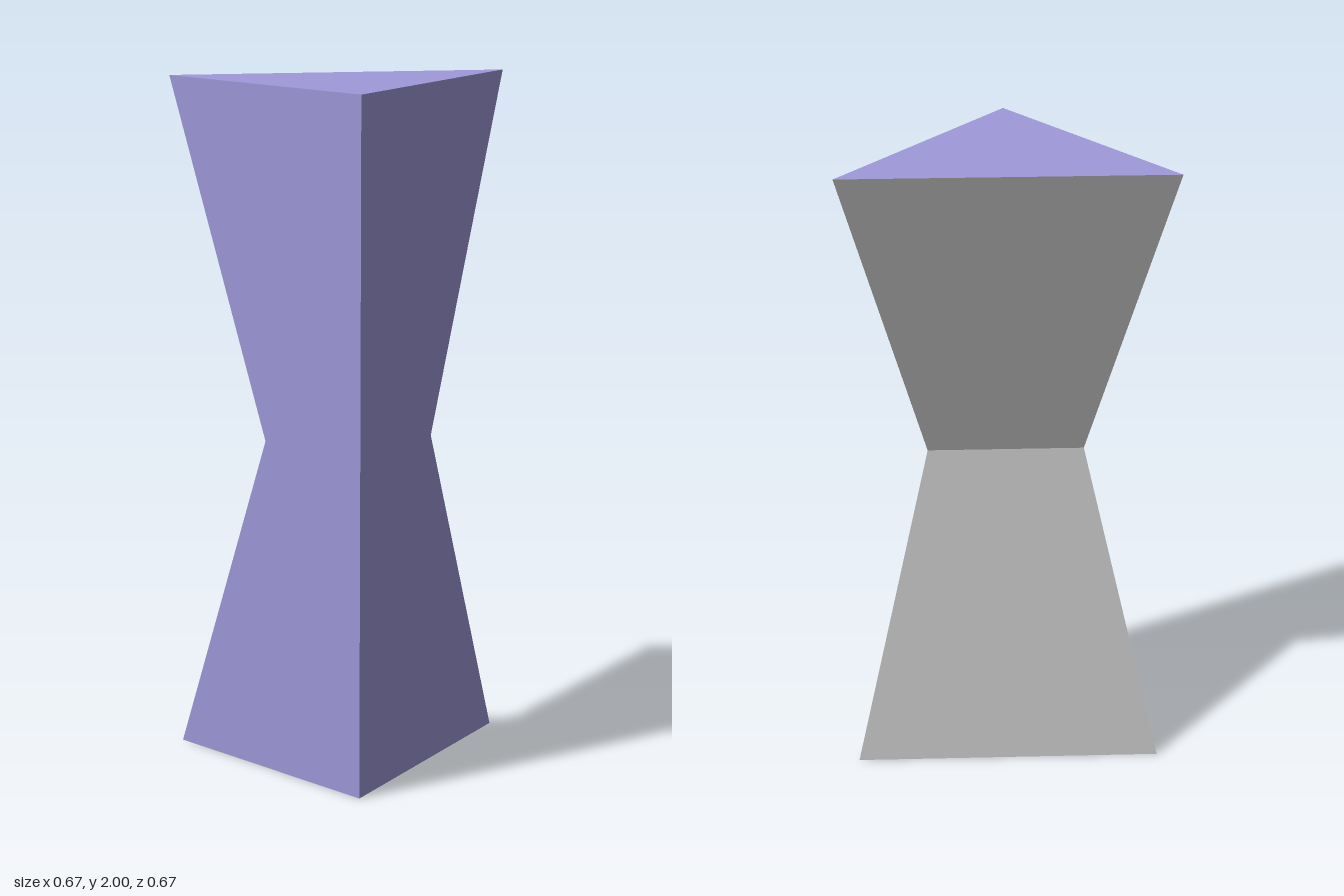
import * as THREE from 'three';

const HALF = 0.333;

// Triangular cross-section at a height: square corner, back-left tip, front-right tip.
function section(y, tip) {
  return [
    new THREE.Vector3(HALF, y, HALF),
    new THREE.Vector3(HALF, y, tip),
    new THREE.Vector3(tip, y, HALF),
  ];
}

function facesMesh(name, triangles, color) {
  const geometry = new THREE.BufferGeometry().setFromPoints(triangles.flat());
  geometry.computeVertexNormals();
  const mesh = new THREE.Mesh(
    geometry,
    new THREE.MeshStandardMaterial({ color, flatShading: true })
  );
  mesh.name = name;
  return mesh;
}

export function createModel() {
  const model = new THREE.Group();
  model.name = 'waistedPrism';

  // Wide base, narrow waist, wide top
  const rings = [section(0, -HALF), section(1, 0), section(2, -HALF)];

  // Wall strip between one pair of neighbouring corners, running up all sections
  const wall = (i) => {
    const j = (i + 1) % 3;
    const triangles = [];
    for (let k = 0; k < rings.length - 1; k++) {
      const low = rings[k], high = rings[k + 1];
      triangles.push([low[i], low[j], high[j]], [low[i], high[j], high[i]]);
    }
    return triangles;
  };

  // Coloured shell: the two upright walls, the top and the bottom
  const bottom = [...rings[0]].reverse();
  model.add(facesMesh('body', [...wall(0), ...wall(2), rings[2], bottom], 0x9f9adb));

  // Grey slanted back, folded inward at the waist
  model.add(facesMesh('foldedBack', wall(1), 0xcccccc));

  return model;
}
